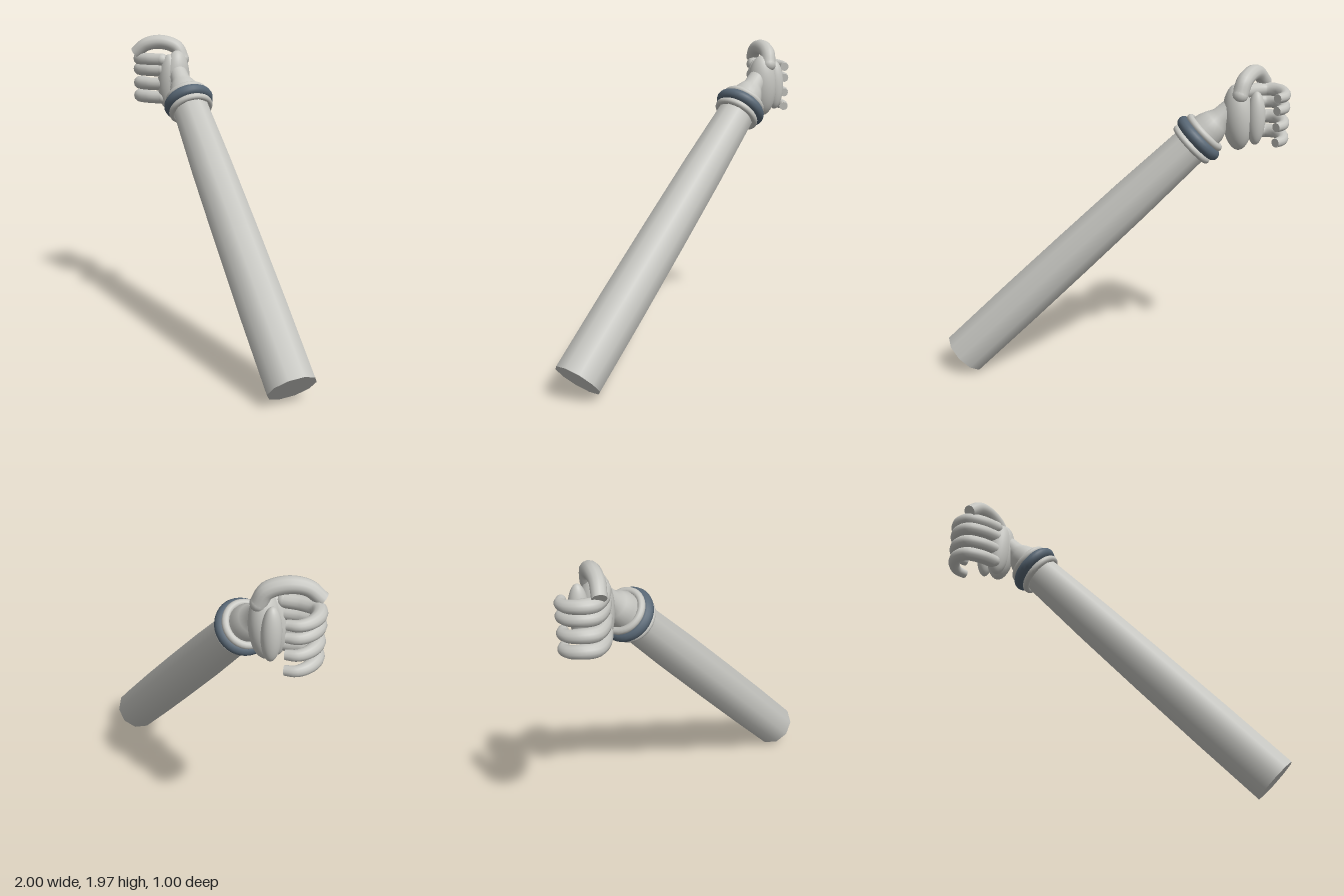
import * as THREE from 'three';

const shell = new THREE.MeshStandardMaterial({ color: 0xc6c6c1 });
shell.name = 'light grey shell';
const band = new THREE.MeshStandardMaterial({ color: 0x586775 });
band.name = 'slate band';

function add(parent, name, geometry, material = shell) {
  const mesh = new THREE.Mesh(geometry, material);
  mesh.name = name;
  parent.add(mesh);
  return mesh;
}

// Rounded start, swept body that narrows to a flat cut tip
function digit(parent, name, points, r0, r1) {
  const group = new THREE.Group();
  group.name = name;
  parent.add(group);
  const curve = new THREE.CatmullRomCurve3(points.map((p) => new THREE.Vector3(...p)));
  const steps = 28, sides = 12;
  const tube = new THREE.TubeGeometry(curve, steps, r0, sides);
  const pos = tube.attributes.position, v = new THREE.Vector3();
  for (let i = 0; i < pos.count; i++) {
    const t = Math.floor(i / (sides + 1)) / steps;
    const c = curve.getPointAt(t);
    const k = 1 + (r1 / r0 - 1) * Math.max(0, (t - 0.5) * 2);
    v.fromBufferAttribute(pos, i).sub(c).multiplyScalar(k).add(c);
    pos.setXYZ(i, v.x, v.y, v.z);
  }
  add(group, name + 'Body', tube);
  add(group, name + 'Root', new THREE.SphereGeometry(r0, 14, 10)).position.copy(curve.getPointAt(0));
  const tip = add(group, name + 'Tip', new THREE.CircleGeometry(r1, sides));
  tip.position.copy(curve.getPointAt(1));
  tip.quaternion.setFromUnitVectors(new THREE.Vector3(0, 0, 1), curve.getTangentAt(1));
}

export function createModel() {
  const model = new THREE.Group();
  model.name = 'forearmWithHand';

  // Forearm, built upright and tilted along its axis
  const arm = new THREE.Group();
  arm.name = 'arm';
  arm.position.set(0.885, 0.107, 0.36);
  arm.quaternion.setFromUnitVectors(
    new THREE.Vector3(0, 1, 0),
    new THREE.Vector3(-1.345, 1.445, -0.625).normalize()
  );
  model.add(arm);
  const lathe = (pts, sides) => new THREE.LatheGeometry(pts.map((p) => new THREE.Vector2(...p)), sides);
  add(arm, 'forearm', lathe([[0.15, 0], [0.15, 0.5], [0.145, 1], [0.137, 1.5], [0.12, 2.04]], 10));
  add(arm, 'elbowCap', new THREE.CircleGeometry(0.15, 10, Math.PI / 2)).rotation.x = Math.PI / 2;

  // Cuff: dark band between two light rims
  const ring = (name, y, R, r, mat) => {
    const m = add(arm, name, new THREE.TorusGeometry(R, r, 12, 36), mat);
    m.rotation.x = Math.PI / 2;
    m.position.y = y;
  };
  ring('lowerRim', 2.0, 0.128, 0.021);
  ring('cuffBand', 2.055, 0.13, 0.037, band);
  ring('upperRim', 2.105, 0.122, 0.022);
  add(arm, 'wrist', lathe([[0.11, 2.04], [0.105, 2.15], [0.085, 2.2], [0.065, 2.24], [0.06, 2.32]], 24));

  // Palm: overlapping pads
  const hand = new THREE.Group();
  hand.name = 'hand';
  model.add(hand);
  const pad = (name, p, s, tilt) => {
    const m = add(hand, name, new THREE.SphereGeometry(1, 28, 20));
    m.position.set(...p);
    m.scale.set(...s);
    m.rotation.z = tilt;
  };
  pad('backOfHand', [-0.655, 1.67, -0.36], [0.088, 0.2, 0.095], -0.08);
  pad('thumbPad', [-0.74, 1.67, -0.43], [0.055, 0.16, 0.058], 0);
  pad('knucklePad', [-0.685, 1.66, -0.31], [0.075, 0.185, 0.06], -0.08);

  // Four curled fingers
  [1.805, 1.735, 1.64, 1.55].forEach((y, i) => {
    const d = 0.02 + i * 0.004;
    digit(hand, 'finger' + (i + 1), [
      [-0.72, y, -0.29], [-0.82, y, -0.262], [-0.91, y, -0.268], [-0.955, y, -0.33],
      [-0.953, y - d * 0.4, -0.4], [-0.915, y - d * 0.8, -0.455], [-0.855, y - d, -0.475]
    ], 0.043, 0.028);
  });

  // Thumb arching over the fist
  digit(hand, 'thumb', [
    [-0.64, 1.81, -0.405], [-0.675, 1.885, -0.39], [-0.765, 1.922, -0.33],
    [-0.85, 1.905, -0.27], [-0.92, 1.845, -0.235]
  ], 0.048, 0.042);

  return model;
}
